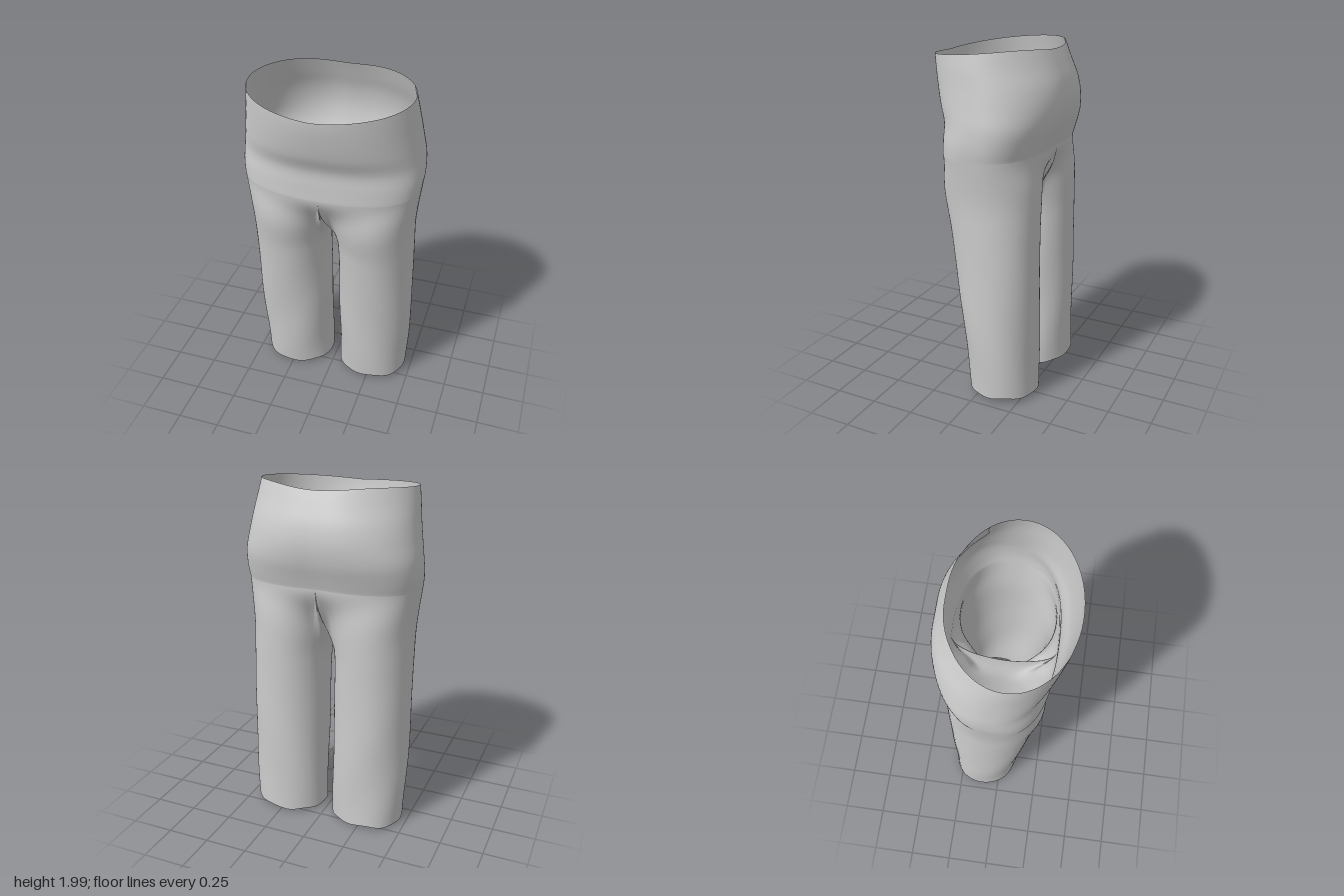
import * as THREE from 'three';
import { mergeVertices } from 'three/addons/utils/BufferGeometryUtils.js';

// hips and seat: y, half width, front z, back z, squareness
const TORSO = [
  [1.40, 0.497, 0.276, -0.292, 2.6], [1.50, 0.508, 0.276, -0.325, 2.5],
  [1.60, 0.505, 0.280, -0.358, 2.35], [1.70, 0.490, 0.322, -0.372, 2.2],
  [1.80, 0.475, 0.350, -0.360, 2.1], [1.90, 0.462, 0.370, -0.325, 2.0],
  [2.00, 0.445, 0.378, -0.285, 2.0],
];
// one leg: y, inner x, outer x, front z, back z
const LEG = [
  [0.00, 0.035, 0.465, 0.090, -0.300], [0.50, 0.033, 0.480, 0.145, -0.298],
  [1.00, 0.034, 0.475, 0.210, -0.297], [1.20, 0.012, 0.477, 0.250, -0.299],
  [1.45, 0.000, 0.505, 0.282, -0.305],
];
const OUTER = 56, INNER = 24, RING = OUTER + INNER;
const TORSO_ROWS = 30, LEG_ROWS = 56;
const START = -50 * Math.PI / 180, SWEEP = 280 * Math.PI / 180;

// smooth interpolation of a table by its first column
function sample(table, y) {
  let i = 0;
  while (i < table.length - 2 && y > table[i + 1][0]) i++;
  const a = table[i], b = table[i + 1], h = b[0] - a[0];
  const p = table[Math.max(i - 1, 0)], q = table[Math.min(i + 2, table.length - 1)];
  const t = THREE.MathUtils.clamp((y - a[0]) / h, 0, 1), u = t * t, v = u * t;
  return a.slice(1).map((va, k) => {
    const vb = b[k + 1];
    const ma = (vb - p[k + 1]) / (b[0] - p[0]) * h;
    const mb = (q[k + 1] - va) / (q[0] - a[0]) * h;
    return va * (2 * v - 3 * u + 1) + ma * (v - 2 * u + t) + vb * (3 * u - 2 * v) + mb * (v - u);
  });
}

const power = (v, e) => Math.sign(v) * Math.pow(Math.abs(v), e);

// phi runs from the front centre (0) round the hip to the back centre (PI)
function torsoPoint(phi, y) {
  const [w, front, back, n] = sample(TORSO, y);
  const s = Math.max(0, Math.sin(phi)), c = Math.cos(phi);
  const x = phi > 3.1415 ? 0 : w * power(s, 2 / n);
  let z = (front + back) / 2 + (front - back) / 2 * power(c, 2 / n);
  if (c < 0) z += 0.008 * Math.exp(-((x / 0.1) ** 2));
  return new THREE.Vector3(x, y, z);
}

function legPoint(a, y) {
  const [xi, xo, front, back] = sample(LEG, y);
  const fold = 0.004 * Math.sin(9 * y + 3 * a) * Math.max(0, 1 - y / 1.1);
  return new THREE.Vector3(
    (xi + xo) / 2 + ((xo - xi) / 2 + fold) * power(Math.sin(a), 0.95), y,
    (front + back) / 2 + ((front - back) / 2 + fold) * power(Math.cos(a), 0.95));
}

function trousersGeometry() {
  const phiOf = i => i / OUTER * Math.PI;
  const baseY = phi => 1.42 + 0.03 * phi / Math.PI;
  const rimY = phi => 1.93 + 0.07 * Math.pow((1 - Math.cos(phi)) / 2, 0.6)
    - 0.025 * Math.exp(-(((phi - Math.PI) / 0.5) ** 2));

  // seam under the crotch, running from back to front on the centre plane
  const f = torsoPoint(0, baseY(0)), b = torsoPoint(Math.PI, baseY(Math.PI));
  const seam = new THREE.CatmullRomCurve3([b,
    ...[[1.36, -0.275], [1.27, -0.2], [1.225, -0.1], [1.21, 0], [1.23, 0.1], [1.275, 0.19], [1.34, 0.25]]
      .map(([y, z]) => new THREE.Vector3(0, y, z)), f]);

  const positions = [], index = [];
  const quad = (p, q, r, s, flip) => flip
    ? index.push(p, r, q, q, r, s) : index.push(p, q, r, q, s, r);

  for (const side of [1, -1]) {
    const add = p => positions.push(side * p.x, p.y, p.z);

    // half of the hips
    let first = positions.length / 3;
    for (let r = 0; r <= TORSO_ROWS; r++)
      for (let i = 0; i <= OUTER; i++) {
        const phi = phiOf(i);
        add(torsoPoint(phi, THREE.MathUtils.lerp(baseY(phi), rimY(phi), r / TORSO_ROWS)));
      }
    for (let r = 0; r < TORSO_ROWS; r++)
      for (let i = 0; i < OUTER; i++) {
        const p = first + r * (OUTER + 1) + i;
        quad(p, p + 1, p + OUTER + 1, p + OUTER + 2, side < 0);
      }

    // leg, eased out of the hip line and the crotch seam
    first = positions.length / 3;
    for (let r = 0; r <= LEG_ROWS; r++)
      for (let i = 0; i < RING; i++) {
        const inner = i > OUTER, t = (i - OUTER) / INNER;
        const a = inner
          ? START + SWEEP + t * (2 * Math.PI - SWEEP)
          : START + SWEEP * i / OUTER;
        const base = inner ? seam.getPoint(t) : torsoPoint(phiOf(i), baseY(phiOf(i)));
        const hem = 0.012 + 0.005 * Math.sin(3 * a + side) + 0.004 * Math.sin(7 * a)
          + (side > 0 ? 0.012 * Math.sin(a) + 0.006 : 0);
        const y = THREE.MathUtils.lerp(base.y, hem, Math.pow(r / LEG_ROWS, 1.4));
        const ease = Math.exp(-(((base.y - y) / 0.14) ** 2));
        const offset = base.clone().sub(legPoint(a, base.y)).multiplyScalar(ease);
        add(r === 0 ? base : legPoint(a, y).add(offset));
      }
    for (let r = 0; r < LEG_ROWS; r++)
      for (let i = 0; i < RING; i++) {
        const p = first + r * RING + i, q = first + r * RING + (i + 1) % RING;
        quad(p, q, p + RING, q + RING, side > 0);
      }
  }

  const g = new THREE.BufferGeometry();
  g.setAttribute('position', new THREE.Float32BufferAttribute(positions, 3));
  g.setIndex(index);
  const welded = mergeVertices(g, 1e-5);
  welded.computeVertexNormals();
  return welded;
}

export function createModel() {
  const group = new THREE.Group();
  group.name = 'trousers';
  const cloth = new THREE.Mesh(trousersGeometry(),
    new THREE.MeshStandardMaterial({ color: 0xcccccc, side: THREE.DoubleSide }));
  cloth.name = 'trouserCloth';
  group.add(cloth);
  return group;
}
